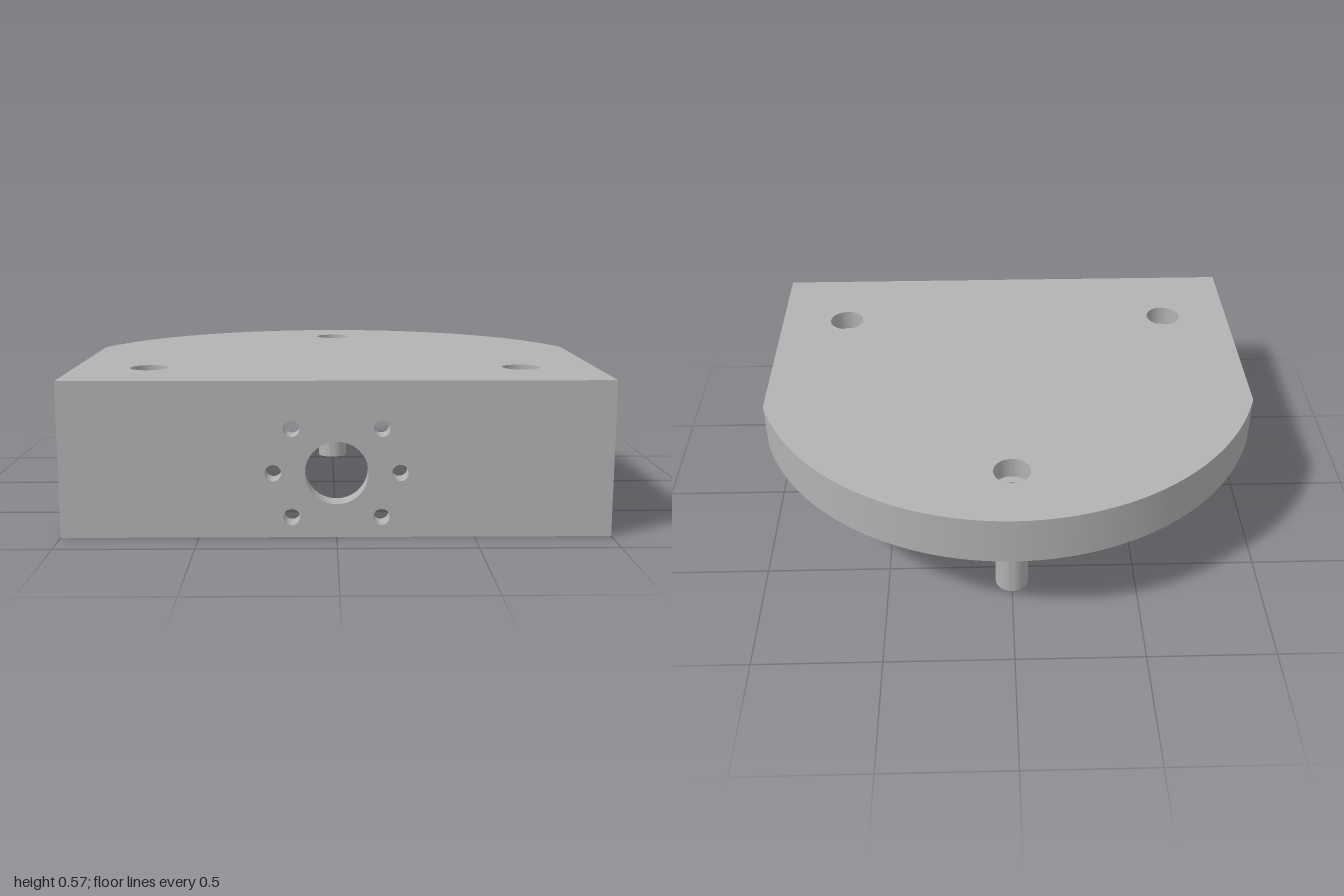
import * as THREE from 'three';
import { toCreasedNormals } from 'three/addons/utils/BufferGeometryUtils.js';

const WALL = 0.086, TOP = 0.574, SKIRT = 0.375;
const FRONT = 0.857, CHEEK_BACK = 0.43;
const CEILING = TOP - WALL, INNER_FRONT = FRONT - WALL;
const ARC_Z = 0.199, ARC_R = 1.056;
const POSTS = [[0, -0.574], [0.714, 0.512], [-0.714, 0.512]];

export function createModel() {
  const group = new THREE.Group();
  const grey = new THREE.MeshStandardMaterial({ color: 0xb2b2b2 });
  grey.name = 'plain grey';

  const add = (name, geometry, x = 0, y = 0, z = 0) => {
    const mesh = new THREE.Mesh(geometry, grey);
    mesh.name = name;
    mesh.position.set(x, y, z);
    group.add(mesh);
  };
  const extrude = (shape, depth) => toCreasedNormals(
    new THREE.ExtrudeGeometry(shape, { depth, bevelEnabled: false, curveSegments: 64 }), 0.2);
  const hole = (x, y, r) => new THREE.Path().absarc(x, y, r, 0, Math.PI * 2, true);

  // Plan outlines use y = -z; the arc meets the straight sides at angle a
  const arcStart = (halfWidth, r) => Math.acos(halfWidth / r);
  const outerA = arcStart(1, ARC_R);
  const innerR = ARC_R - WALL;
  const innerA = arcStart(1 - WALL, innerR);

  // Roof plate with counterbored screw holes
  const roof = new THREE.Shape();
  roof.moveTo(-1, -FRONT);
  roof.lineTo(1, -FRONT);
  roof.absarc(0, -ARC_Z, ARC_R, outerA, Math.PI - outerA, false);
  roof.closePath();
  POSTS.forEach(([x, z]) => roof.holes.push(hole(x, -z, 0.072)));
  add('roofPlate', extrude(roof, WALL).rotateX(-Math.PI / 2), 0, CEILING, 0);

  // Shallow skirt around the sides and rounded back
  const skirt = new THREE.Shape();
  skirt.moveTo(1 - WALL, -INNER_FRONT);
  skirt.lineTo(1, -INNER_FRONT);
  skirt.absarc(0, -ARC_Z, ARC_R, outerA, Math.PI - outerA, false);
  skirt.lineTo(-1, -INNER_FRONT);
  skirt.lineTo(-1 + WALL, -INNER_FRONT);
  skirt.absarc(0, -ARC_Z, innerR, Math.PI - innerA, innerA, true);
  skirt.closePath();
  add('rearSkirt', extrude(skirt, CEILING - SKIRT).rotateX(-Math.PI / 2), 0, SKIRT, 0);

  // Front wall with a central bore and a ring of six small holes
  const wall = new THREE.Shape();
  wall.moveTo(-1, 0);
  wall.lineTo(1, 0);
  wall.lineTo(1, CEILING);
  wall.lineTo(-1, CEILING);
  wall.closePath();
  const boreY = 0.238;
  wall.holes.push(hole(0, boreY, 0.115));
  [0, 45, 135, 180, 225, 315].forEach((deg) => {
    const a = THREE.MathUtils.degToRad(deg);
    wall.holes.push(hole(0.23 * Math.cos(a), boreY + 0.23 * Math.sin(a), 0.03));
  });
  add('frontWall', extrude(wall, WALL), 0, 0, INNER_FRONT);

  // Deep side cheeks behind the front wall
  for (const side of [1, -1]) {
    add(side > 0 ? 'leftCheek' : 'rightCheek',
      new THREE.BoxGeometry(WALL, SKIRT, INNER_FRONT - CHEEK_BACK),
      side * (1 - WALL / 2), SKIRT / 2, (INNER_FRONT + CHEEK_BACK) / 2);
  }

  // Hollow screw posts, filleted into the ceiling
  const boreR = 0.037, postR = 0.066, fillet = 0.05;
  const profile = [[0.072, CEILING], [boreR, CEILING], [boreR, 0], [postR, 0]];
  for (let i = 0; i <= 8; i++) {
    const a = (i / 8) * Math.PI / 2;
    profile.push([postR + fillet * (1 - Math.cos(a)), CEILING - fillet * (1 - Math.sin(a))]);
  }
  const post = toCreasedNormals(
    new THREE.LatheGeometry(profile.map(([r, y]) => new THREE.Vector2(r, y)), 48), 0.5);
  POSTS.forEach(([x, z], i) => add(['backPost', 'leftPost', 'rightPost'][i], post, x, 0, z));

  return group;
}
